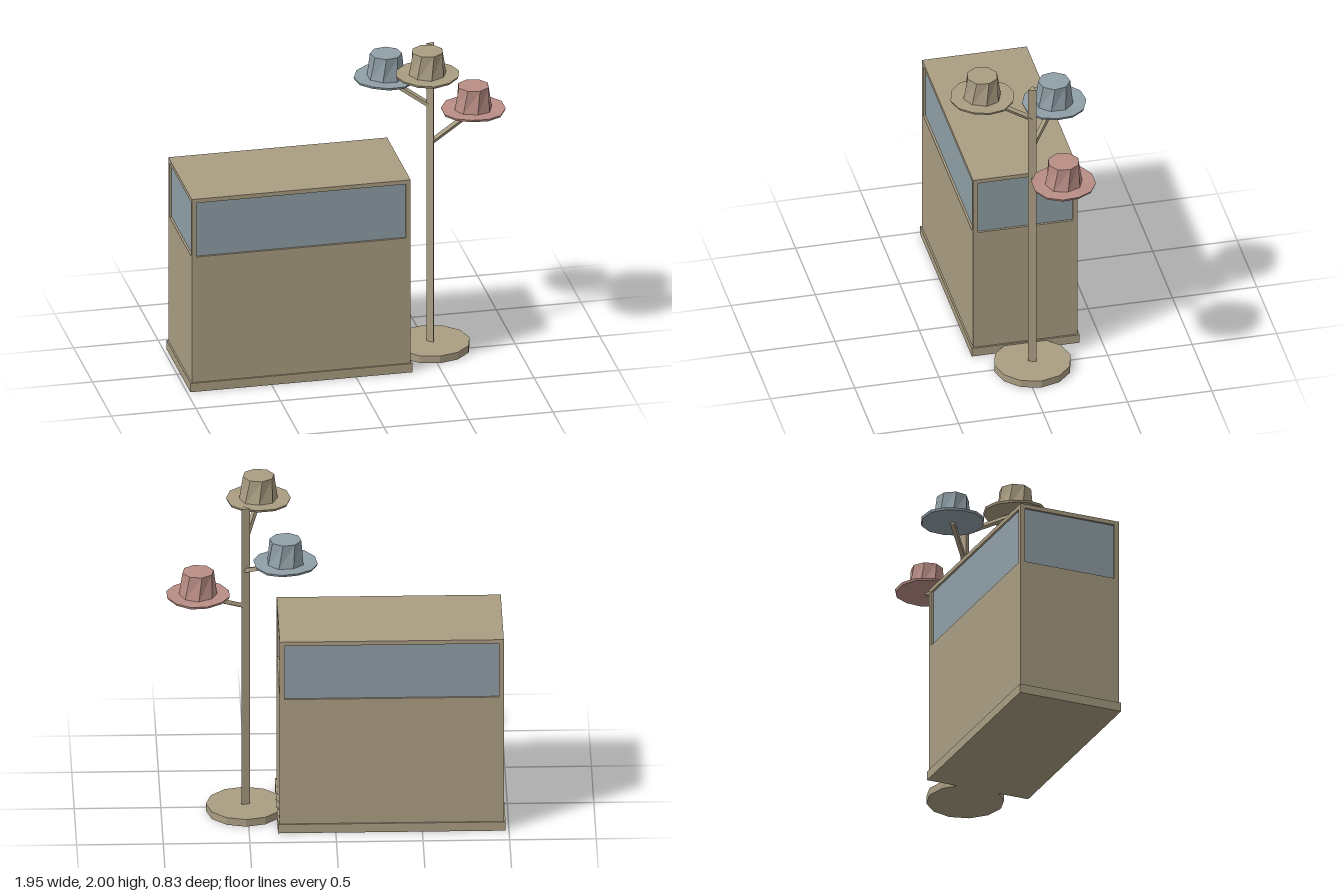
import * as THREE from 'three';

const tan = new THREE.MeshStandardMaterial({ color: 0xaa9d82 });
tan.name = 'tan';
const blue = new THREE.MeshStandardMaterial({ color: 0x909fa7 });
blue.name = 'greyBlue';
const pink = new THREE.MeshStandardMaterial({ color: 0xba8e86 });
pink.name = 'dustyPink';

// Faceted mesh with one normal per face
function part(name, geometry, material) {
  const flat = geometry.index ? geometry.toNonIndexed() : geometry;
  flat.computeVertexNormals();
  const mesh = new THREE.Mesh(flat, material);
  mesh.name = name;
  return mesh;
}

// Box given by its lower and upper corners
function block(name, [x0, y0, z0], [x1, y1, z1], material) {
  const mesh = part(name, new THREE.BoxGeometry(x1 - x0, y1 - y0, z1 - z0), material);
  mesh.position.set((x0 + x1) / 2, (y0 + y1) / 2, (z0 + z1) / 2);
  return mesh;
}

// Straight bar between two points
function bar(name, from, to, radius, sides) {
  const a = new THREE.Vector3(...from);
  const b = new THREE.Vector3(...to);
  const mesh = part(name, new THREE.CylinderGeometry(radius, radius, a.distanceTo(b), sides), tan);
  mesh.position.copy(a).lerp(b, 0.5);
  mesh.quaternion.setFromUnitVectors(new THREE.Vector3(0, 1, 0), b.sub(a).normalize());
  return mesh;
}

// Hat: slightly wavy brim and a tapered crown whose top ring is twisted
function hat(name, material, turn) {
  const group = new THREE.Group();
  group.name = name;

  const brim = new THREE.CylinderGeometry(0.187, 0.182, 0.014, 12);
  const bp = brim.attributes.position;
  for (let i = 0; i < bp.count; i++) {
    const x = bp.getX(i), z = bp.getZ(i);
    if (Math.hypot(x, z) > 0.1) bp.setY(i, bp.getY(i) + 0.004 * Math.sin(3 * Math.atan2(z, x)));
  }
  const brimMesh = part('brim', brim, material);
  brimMesh.position.y = 0.009;

  const crown = new THREE.CylinderGeometry(0.093, 0.111, 0.146, 8);
  const cp = crown.attributes.position;
  const v = new THREE.Vector3();
  for (let i = 0; i < cp.count; i++) {
    v.fromBufferAttribute(cp, i);
    if (v.y > 0) v.applyAxisAngle(new THREE.Vector3(0, 1, 0), 0.2);
    cp.setXYZ(i, v.x, v.y, v.z);
  }
  const crownMesh = part('crown', crown, material);
  crownMesh.position.y = 0.085;

  group.add(brimMesh, crownMesh);
  group.rotation.y = turn;
  return group;
}

function createCounter() {
  const counter = new THREE.Group();
  counter.name = 'displayCounter';
  const x0 = -0.97, x1 = 0.324, z0 = -0.363, z1 = 0.257, post = 0.028;
  counter.add(
    block('plinth', [-0.98, 0, -0.372], [0.334, 0.055, 0.267], tan),
    block('cabinet', [x0, 0.055, z0], [x1, 0.845, z1], tan),
    block('glassCase', [x0 + 0.013, 0.845, z0 + 0.013], [x1 - 0.013, 1.185, z1 - 0.013], blue),
    block('counterTop', [x0, 1.185, z0], [x1, 1.21, z1], tan)
  );
  // Corner posts framing the glass
  for (const x of [x0, x1 - post]) {
    for (const z of [z0, z1 - post]) {
      counter.add(block('cornerPost', [x, 0.845, z], [x + post, 1.185, z + post], tan));
    }
  }
  return counter;
}

function createStand() {
  const stand = new THREE.Group();
  stand.name = 'hatStand';
  const px = 0.515, pz = -0.05;

  const foot = part('foot', new THREE.CylinderGeometry(0.226, 0.226, 0.045, 12), tan);
  foot.position.set(px, 0.0225, pz);
  const pole = part('pole', new THREE.CylinderGeometry(0.028, 0.028, 1.875, 3), tan);
  pole.position.set(px, 0.9825, pz);
  pole.rotation.y = 0.25;
  stand.add(foot, pole);

  // Each arm: start height, tip, hat colour
  const arms = [
    ['tanHat', 1.715, [0.43, 1.843, 0.228], tan],
    ['blueHat', 1.525, [0.287, 1.645, -0.232], blue],
    ['pinkHat', 1.3, [0.79, 1.42, -0.17], pink]
  ];
  arms.forEach(([name, y, tip, material], i) => {
    stand.add(bar('arm', [px, y, pz], tip, 0.017, 4));
    const h = hat(name, material, i * 0.4);
    h.position.set(tip[0], tip[1] - 0.001, tip[2]);
    stand.add(h);
  });
  return stand;
}

export function createModel() {
  const model = new THREE.Group();
  model.name = 'hatShopCounter';
  model.add(createCounter(), createStand());
  return model;
}
